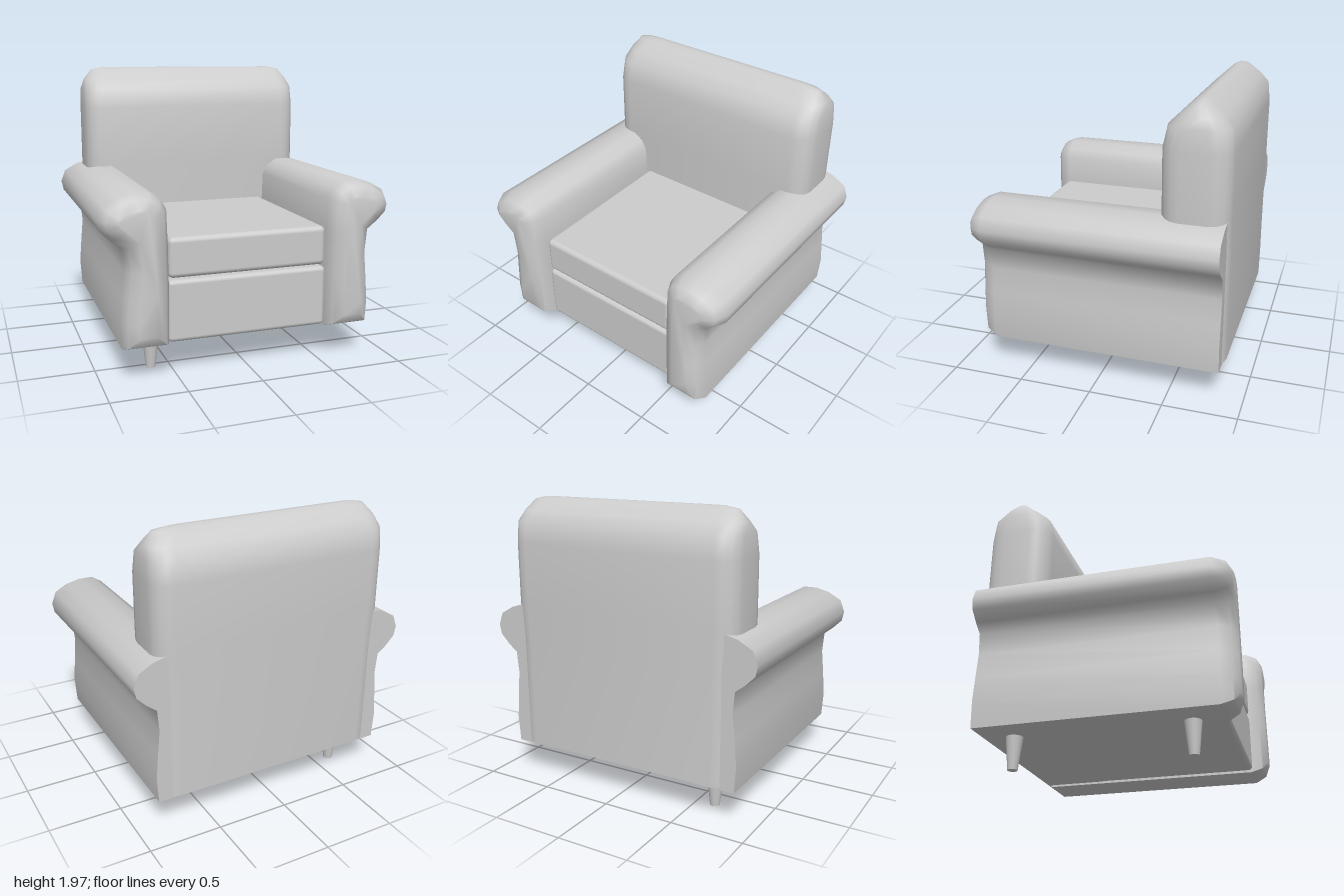
import * as THREE from 'three';
import { toCreasedNormals } from 'three/addons/utils/BufferGeometryUtils.js';
import { RoundedBoxGeometry } from 'three/addons/geometries/RoundedBoxGeometry.js';

const material = new THREE.MeshStandardMaterial({ color: 0xcccccc });

function addMesh(parent, name, geometry, x = 0, y = 0, z = 0) {
  const mesh = new THREE.Mesh(geometry, material);
  mesh.name = name;
  mesh.position.set(x, y, z);
  parent.add(mesh);
}

// Joins counter-clockwise loops stacked along z, with a cap at each end.
function loft(sections, crease) {
  const n = sections[0].points.length;
  const positions = sections.flatMap(s => s.points.flatMap(p => [p.x, p.y, s.z]));
  const index = [];
  for (let k = 0; k < sections.length - 1; k++) {
    for (let i = 0; i < n; i++) {
      const a = k * n + i, b = k * n + (i + 1) % n;
      index.push(a, b, b + n, a, b + n, a + n);
    }
  }
  const last = (sections.length - 1) * n;
  for (const [a, b, c] of THREE.ShapeUtils.triangulateShape(sections[0].points, [])) index.push(a, c, b);
  for (const [a, b, c] of THREE.ShapeUtils.triangulateShape(sections.at(-1).points, [])) index.push(last + a, last + b, last + c);
  const geometry = new THREE.BufferGeometry();
  geometry.setAttribute('position', new THREE.Float32BufferAttribute(positions, 3));
  geometry.setIndex(index);
  return toCreasedNormals(geometry, crease);
}

// Moves every point of a counter-clockwise loop inwards by a distance.
function inset(points, distance) {
  const n = points.length;
  return points.map((p, i) => {
    const u = p.clone().sub(points[(i + n - 1) % n]).normalize();
    const v = points[(i + 1) % n].clone().sub(p).normalize();
    const nu = new THREE.Vector2(-u.y, u.x), nv = new THREE.Vector2(-v.y, v.x);
    const miter = nu.clone().add(nv).normalize();
    return p.clone().addScaledVector(miter, distance / Math.max(miter.dot(nu), 0.5));
  });
}

// Rolled arm: scroll profile, flat at the rear and softened at the front.
function armGeometry(side) {
  let profile = [
    [0.555, 0.22], [0.86, 0.22], [0.872, 0.4], [0.858, 0.57], [0.842, 0.74], [0.855, 0.885],
    [0.92, 0.935], [0.985, 1.0], [1.0, 1.07], [0.968, 1.155], [0.87, 1.21], [0.775, 1.233],
    [0.674, 1.233], [0.6, 1.185], [0.562, 1.115], [0.555, 0.9], [0.55, 0.6],
  ].map(([x, y]) => new THREE.Vector2(side * x, y));
  if (side < 0) profile.reverse();
  return loft([
    { z: -0.84, points: profile },
    { z: 0.74, points: profile },
    { z: 0.82, points: inset(profile, 0.035) },
    { z: 0.858, points: inset(profile, 0.1) },
  ], 0.95);
}

// Rounded rectangle seen from above; the loop's y is minus world z.
function backSection(halfWidth, zFront, zBack) {
  const mid = -(zFront + zBack) / 2, half = (zFront - zBack) / 2;
  const rx = 0.13, ry = Math.min(0.13, half * 0.9);
  const points = [];
  for (let q = 0; q < 4; q++) {
    const sx = q === 0 || q === 3 ? 1 : -1, sy = q < 2 ? 1 : -1;
    for (let i = 0; i <= 4; i++) {
      const t = (q + i / 4) * Math.PI / 2;
      points.push(new THREE.Vector2(
        sx * (halfWidth - rx) + rx * Math.cos(t),
        mid + sy * (half - ry) + ry * Math.sin(t)));
    }
  }
  return points;
}

// Backrest: height, half width, front z, rear z of each level.
function backGeometry() {
  const levels = [
    [0.235, 0.825, -0.41, -0.86], [1.0, 0.83, -0.41, -0.86], [1.25, 0.845, -0.41, -0.86],
    [1.67, 0.845, -0.41, -0.86], [1.81, 0.842, -0.44, -0.845], [1.88, 0.825, -0.515, -0.785],
    [1.95, 0.77, -0.59, -0.7], [1.968, 0.68, -0.625, -0.66],
  ];
  const sections = levels.map(([y, w, f, b]) => ({ z: y, points: backSection(w, f, b) }));
  return loft(sections, 0.95).rotateX(-Math.PI / 2);
}

export function createModel() {
  const chair = new THREE.Group();
  chair.name = 'armchair';

  addMesh(chair, 'leftArm', armGeometry(1));
  addMesh(chair, 'rightArm', armGeometry(-1));
  addMesh(chair, 'backrest', backGeometry());

  // Seat base and loose cushion
  addMesh(chair, 'seatBase', new RoundedBoxGeometry(1.11, 0.415, 1.56, 3, 0.03), 0, 0.4375, -0.03);
  addMesh(chair, 'seatCushion', new RoundedBoxGeometry(1.1, 0.268, 1.25, 3, 0.035), 0, 0.792, 0.125);

  // Tapered legs, under the right arm only
  for (const [name, z] of [['frontLeg', 0.535], ['rearLeg', -0.64]]) {
    addMesh(chair, name, new THREE.CylinderGeometry(0.058, 0.033, 0.23, 20), -0.628, 0.115, z);
  }
  return chair;
}
